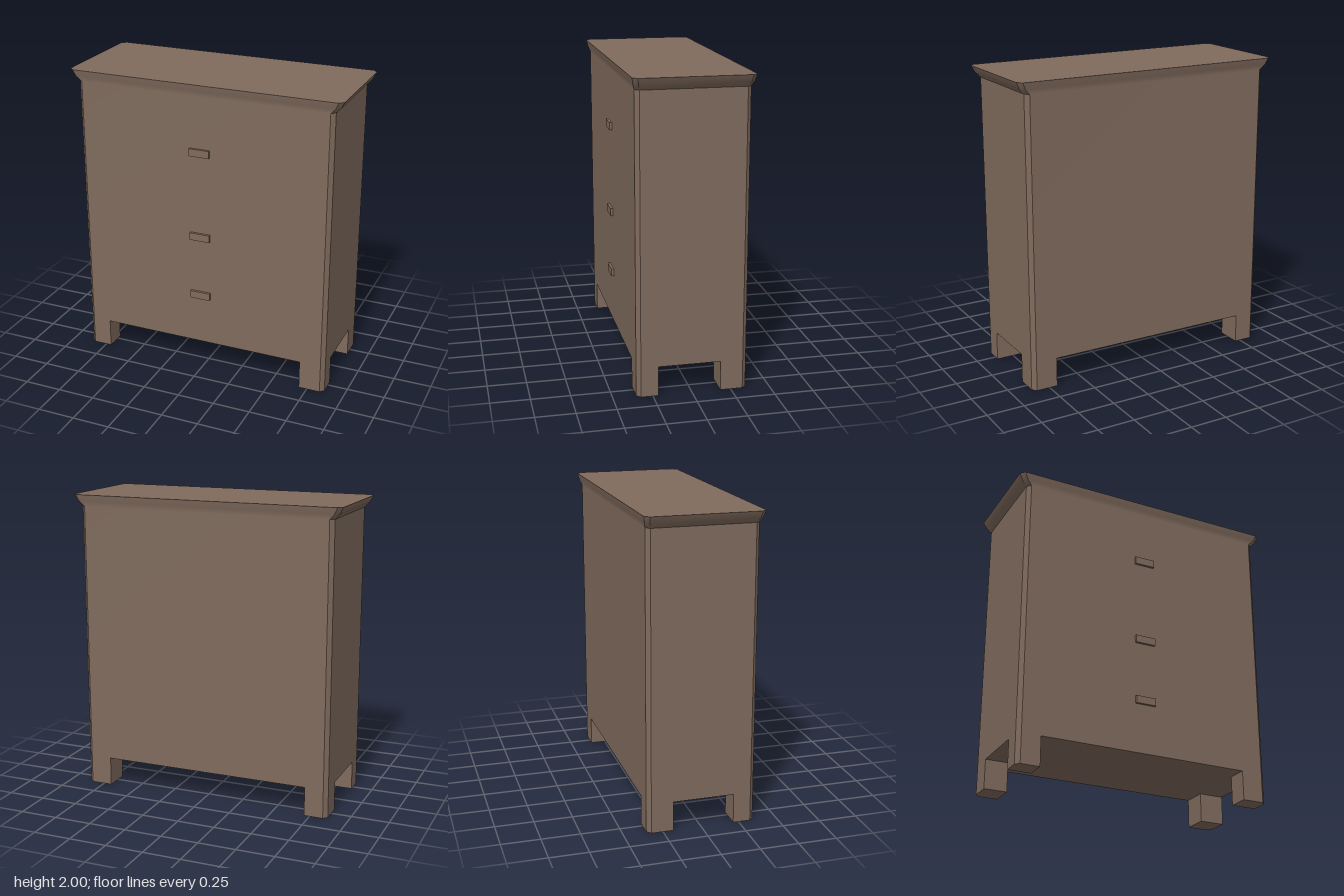
import * as THREE from 'three';
import { mergeGeometries } from 'three/addons/utils/BufferGeometryUtils.js';

const wood = new THREE.MeshStandardMaterial({ color: 0x806b5d });
wood.name = 'brown wood';

const W = 0.865, D = 0.352, C = 0.026; // case half width, half depth, corner chamfer
const LEG_TOP = 0.193, CROWN_Y = 1.923, TOP_Y = 2;

// Rectangle with chamfered corners, starting along the front edge
function chamferedRect(w, d, c) {
  return [[-w + c, d], [w - c, d], [w, d - c], [w, -d + c],
    [w - c, -d], [-w + c, -d], [-w, -d + c], [-w, d - c]];
}

function patch(points, index) {
  const g = new THREE.BufferGeometry();
  g.setAttribute('position', new THREE.Float32BufferAttribute(points.flat(), 3));
  g.setIndex(index);
  g.computeVertexNormals();
  return g;
}

// Skin through stacked rings {y, pts}; each side is one strip, smooth only vertically.
// splitAt(side, level) tells where a strip gets a hard horizontal edge.
function loft(rings, splitAt = () => false) {
  const parts = [];
  const n = rings[0].pts.length;
  const at = (r, i) => [r.pts[i % n][0], r.y, r.pts[i % n][1]];
  for (let i = 0; i < n; i++) {
    let points = [], index = [];
    rings.forEach((r, k) => {
      points.push(at(r, i), at(r, i + 1));
      const b = points.length - 4;
      if (b >= 0) index.push(b, b + 1, b + 3, b, b + 3, b + 2);
      if (k === rings.length - 1) parts.push(patch(points, index));
      else if (k > 0 && splitAt(i, k)) {
        parts.push(patch(points, index));
        points = [at(r, i), at(r, i + 1)];
        index = [];
      }
    });
  }
  // End caps
  const up = [], down = [];
  for (let i = 1; i < n - 1; i++) {
    up.push(0, i, i + 1);
    down.push(0, i + 1, i);
  }
  const last = rings[rings.length - 1];
  parts.push(patch(rings[0].pts.map((p, i) => at(rings[0], i)), down));
  parts.push(patch(last.pts.map((p, i) => at(last, i)), up));
  return mergeGeometries(parts);
}

export function createModel() {
  const model = new THREE.Group();
  model.name = 'chestOfDrawers';
  const add = (geometry, name) => {
    const mesh = new THREE.Mesh(geometry, wood);
    mesh.name = name;
    model.add(mesh);
    return mesh;
  };

  // Case with its flared crown; front and back flow smoothly into the crown
  add(loft([
    { y: LEG_TOP, pts: chamferedRect(W, D, C) },
    { y: CROWN_Y, pts: chamferedRect(W, D, C) },
    { y: 1.957, pts: chamferedRect(0.899, 0.364, 0.027) },
    { y: TOP_Y, pts: chamferedRect(0.92, 0.373, 0.029) },
  ], (side, level) => level === 1 && side % 4 !== 0), 'caseAndCrown');

  // Four corner legs, flush with the case
  for (const sx of [-1, 1]) {
    for (const sz of [-1, 1]) {
      const ix = sx > 0 ? 0.695 : 0.713;
      const iz = sz > 0 ? 0.214 : 0.183;
      const pts = [[ix, D], [W - C, D], [W, D - C], [W, iz], [ix, iz]]
        .map(([x, z]) => [x * sx, z * sz]);
      if (sx * sz < 0) pts.reverse();
      add(loft([{ y: 0, pts }, { y: LEG_TOP, pts }]),
        (sz > 0 ? 'front' : 'back') + (sx > 0 ? 'Left' : 'Right') + 'Leg');
    }
  }

  // Drawer handles
  [1.552, 0.97, 0.546].forEach((y, i) => {
    add(new THREE.BoxGeometry(0.138, 0.05, 0.026), 'drawerHandle' + (i + 1))
      .position.set(-0.011, y, 0.356);
  });

  return model;
}
